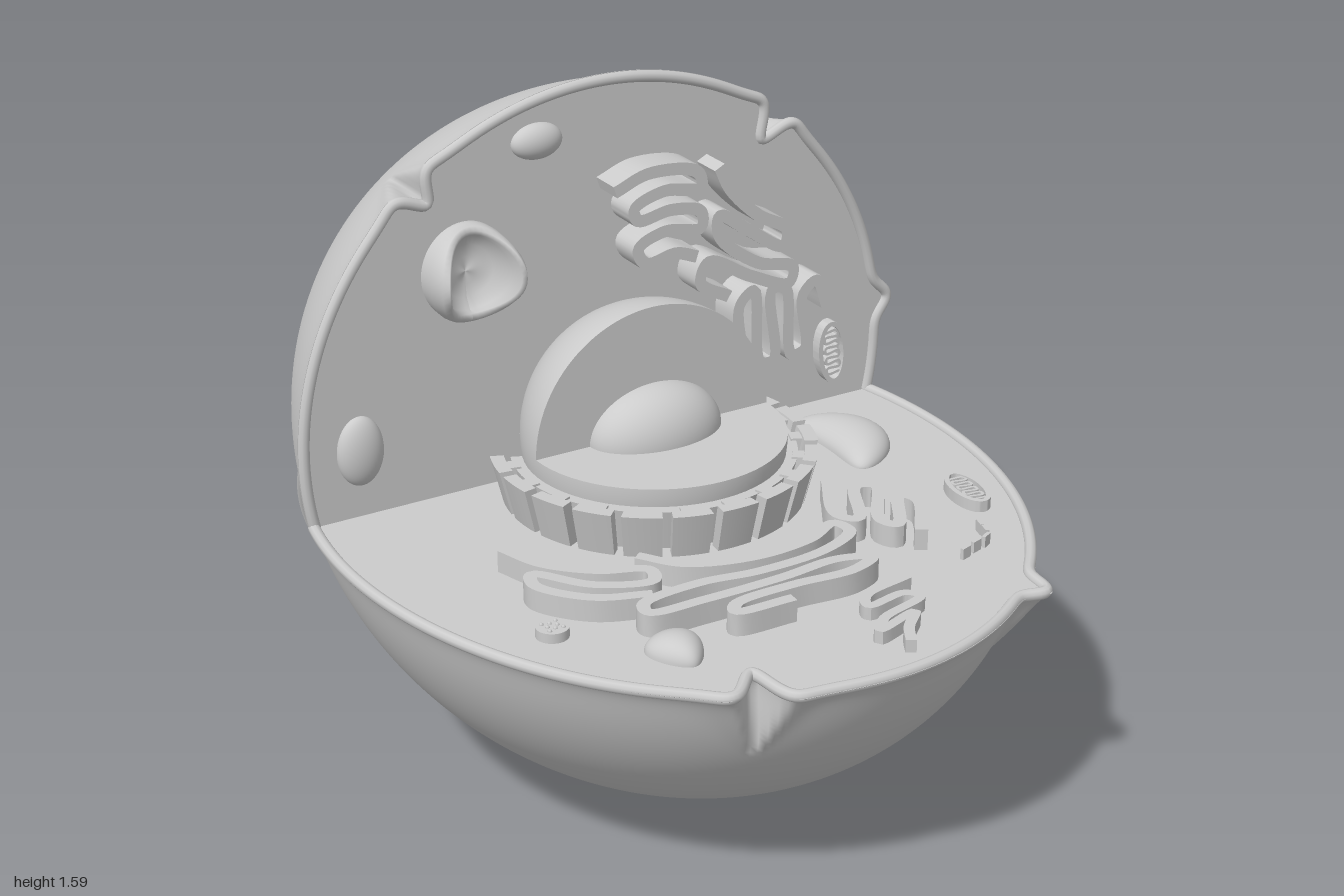
import * as THREE from 'three';
import { toCreasedNormals } from 'three/addons/utils/BufferGeometryUtils.js';
import { ParametricGeometry } from 'three/addons/geometries/ParametricGeometry.js';

const mat = new THREE.MeshStandardMaterial({ color: 0xcccccc, roughness: 0.7 });
const matDouble = new THREE.MeshStandardMaterial({ color: 0xcccccc, roughness: 0.7, side: THREE.DoubleSide });

// Ellipsoid body: centre (CX, CY, 0), radii RX, RY, RZ; cut by floor and wall planes
const CX = -0.02, CY = 0.8, RX = 0.805, RY = 0.8, RZ = 1;
const FLOOR = 0.635, WALL = -0.25, DROP = (CY - FLOOR) / RY;

// Notches (negative) and bumps (positive) on the two rims: [angle, amount, width]
const floorMarks = [[Math.atan2(0.9, -0.36), -0.13, 0.05], [Math.atan2(0.82, 0.58), 0.06, 0.045]];
const wallMarks = [[Math.atan2(0.59, -0.47), -0.1, 0.045], [Math.atan2(0.58, 0.45), -0.12, 0.045], [0.1, 0.05, 0.05]];

function bulge(marks, angle, depth) {
  let d = 0.018 * Math.exp(-depth / 0.02);
  const f = Math.max(0, 1 - depth / 0.19);
  if (f > 0) for (const [a, amt, w] of marks) {
    const q = (angle - a) / (w * (0.15 + 0.85 * f));
    d += amt * f * Math.exp(-q * q);
    if (amt < 0) d -= 0.25 * amt * f * Math.exp(-q * q / 5);
  }
  return 1 + d;
}

function bowlPoint(t, lat, target, inset = 1) {
  const y = CY + RY * Math.sin(lat);
  const k = Math.cos(lat) * bulge(floorMarks, t, FLOOR - y) * inset;
  return target.set(CX + RX * k * Math.cos(t), y, RZ * k * Math.sin(t));
}

function domePoint(a, w, target, inset = 1) {
  const z = -RZ * Math.sin(w);
  const k = Math.cos(w) * bulge(wallMarks, a, WALL - z) * inset;
  return target.set(CX + RX * k * Math.cos(a), CY + RY * k * Math.sin(a), z);
}

function add(parent, name, geometry, material = mat) {
  const mesh = new THREE.Mesh(geometry, material);
  mesh.name = name;
  parent.add(mesh);
  return mesh;
}

// Raised strip of rectangular section along a smooth planar path, standing on z = 0
function ribbon(flat, width, height, flip = 1, closed = false) {
  const pts = [];
  for (let i = 0; i < flat.length; i += 2) pts.push(new THREE.Vector3(flat[i], flat[i + 1] * flip, 0));
  const curve = new THREE.CatmullRomCurve3(pts, closed, 'centripetal');
  const n = pts.length * 7, pos = [], idx = [];
  for (let i = 0; i <= n; i++) {
    const p = curve.getPoint(i / n), t = curve.getTangent(i / n);
    const ox = -t.y * width / 2, oy = t.x * width / 2;
    pos.push(p.x + ox, p.y + oy, 0, p.x + ox, p.y + oy, height, p.x - ox, p.y - oy, height, p.x - ox, p.y - oy, 0);
    if (i < n) for (let j = 0; j < 4; j++) {
      const a = i * 4 + j, b = i * 4 + (j + 1) % 4;
      idx.push(a, b, b + 4, a, b + 4, a + 4);
    }
  }
  const e = n * 4;
  idx.push(0, 2, 1, 0, 3, 2, e, e + 1, e + 2, e, e + 2, e + 3);
  const g = new THREE.BufferGeometry();
  g.setAttribute('position', new THREE.Float32BufferAttribute(pos, 3));
  g.setIndex(idx);
  return toCreasedNormals(g, 0.7);
}

// Move every vertex by a rule, then refresh the normals
function reshape(g, rule) {
  const p = g.attributes.position, v = new THREE.Vector3();
  for (let i = 0; i < p.count; i++) {
    rule(v.fromBufferAttribute(p, i));
    p.setXYZ(i, v.x, v.y, v.z);
  }
  g.computeVertexNormals();
  return g;
}

function blob(parent, name, u, v, rx, ry, rz, rule) {
  const g = new THREE.SphereGeometry(1, 40, 28).scale(rx, ry, rz);
  const m = add(parent, name, rule ? reshape(g, rule) : g);
  m.position.set(u, v, 0);
  return m;
}

// Oval body with a raised border and folded inner membrane
function mitochondrion(parent, u, v, turn) {
  const g = new THREE.Group();
  g.name = 'mitochondrion';
  add(g, 'base', new THREE.CylinderGeometry(1, 1, 0.014, 40).rotateX(Math.PI / 2).scale(0.038, 0.08, 1));
  const oval = [];
  for (let i = 0; i < 16; i++) oval.push(0.036 * Math.cos(i * Math.PI / 8), 0.078 * Math.sin(i * Math.PI / 8));
  add(g, 'border', ribbon(oval, 0.012, 0.028, 1, true));
  const fold = [];
  for (let i = 0; i < 9; i++) {
    const s = i % 2 ? 1 : -1, y = -0.056 + i * 0.014;
    fold.push(-s * 0.018, y, s * 0.018, y);
  }
  add(g, 'folds', ribbon(fold, 0.007, 0.024));
  g.position.set(u, v, 0);
  g.rotation.z = turn;
  parent.add(g);
}

// Block in the shape of a ring sector, flared outwards towards the top
function sector(r0, r1, a0, a1, h) {
  const s = new THREE.Shape();
  s.absarc(0, 0, r1, a0, a1, false);
  s.absarc(0, 0, r0, a1, a0, true);
  const g = new THREE.ExtrudeGeometry(s, { depth: h, bevelEnabled: false, curveSegments: Math.ceil((a1 - a0) * 16) });
  return toCreasedNormals(reshape(g, p => { const k = 1 + 0.7 * p.z; p.x *= k; p.y *= k; }), 0.6);
}

export function createModel() {
  const model = new THREE.Group();
  model.name = 'cutawayCell';
  const lat0 = -Math.asin(DROP), w0 = Math.asin(-WALL);
  const ease = v => v * (0.3 + 0.7 * v);

  // Outer membrane: lower bowl and rear dome
  add(model, 'lowerShell', new ParametricGeometry((u, v, p) =>
    bowlPoint(u * Math.PI * 2 - Math.PI / 2, lat0 + (-Math.PI / 2 + 0.001 - lat0) * ease(v), p), 360, 48), matDouble);
  const arcStart = w => Math.asin(Math.max(-1, -DROP / Math.cos(w)));
  add(model, 'rearShell', new ParametricGeometry((u, v, p) => {
    const w = w0 + (Math.PI / 2 - 0.001 - w0) * ease(v), a0 = arcStart(w);
    return domePoint(Math.PI - a0 + (2 * a0 - Math.PI) * u, w, p);
  }, 300, 48), matDouble);

  // Cut faces with rounded rims
  const tMin = Math.asin(WALL / Math.cos(lat0)), aMin = arcStart(w0);
  const outline = (fn, start, fixed, inset) => Array.from({ length: 301 }, (_, i) =>
    fn(start + (Math.PI - 2 * start) * i / 300, fixed, new THREE.Vector3(), inset));
  const tube = pts => new THREE.TubeGeometry(new THREE.CatmullRomCurve3(pts), 420, 0.014, 10);
  add(model, 'floorRim', tube(outline(bowlPoint, tMin, lat0, 0.985)));
  add(model, 'wallRim', tube(outline(domePoint, aMin, w0, 0.982)));

  const floor = new THREE.Group();
  floor.name = 'floorParts';
  floor.rotation.x = -Math.PI / 2;
  floor.position.y = FLOOR;
  const wall = new THREE.Group();
  wall.name = 'wallParts';
  wall.position.z = WALL;
  model.add(floor, wall);
  add(floor, 'floorFace', new THREE.ShapeGeometry(new THREE.Shape(
    outline(bowlPoint, tMin, lat0, 1).map(p => new THREE.Vector2(p.x, -p.z)))), matDouble);
  add(wall, 'wallFace', new THREE.ShapeGeometry(new THREE.Shape(
    outline(domePoint, aMin, w0, 1).map(p => new THREE.Vector2(p.x, p.y)))), matDouble);

  // Nucleus: sphere with the upper front quarter removed, and its core
  const nucleus = new THREE.Group();
  nucleus.name = 'nucleus';
  nucleus.position.set(-0.03, CY, 0);
  const R = 0.31;
  add(nucleus, 'lowerHalf', new THREE.SphereGeometry(R, 64, 24, 0, Math.PI * 2, Math.PI / 2, Math.PI / 2));
  add(nucleus, 'upperRear', new THREE.SphereGeometry(R, 40, 24, Math.PI, Math.PI, 0, Math.PI / 2));
  add(nucleus, 'uprightFace', new THREE.CircleGeometry(R, 48, 0, Math.PI));
  add(nucleus, 'levelFace', new THREE.CircleGeometry(R, 64).rotateX(-Math.PI / 2));
  add(nucleus, 'core', new THREE.SphereGeometry(1, 48, 32).scale(0.17, 0.122, 0.11));
  model.add(nucleus);

  // Plated collar around the nucleus
  const collar = new THREE.Group();
  collar.name = 'collar';
  collar.position.set(-0.03, 0, 0.02);
  const first = -Math.PI - 0.4, step = (Math.PI + 0.8) / 13;
  add(collar, 'collarBand', sector(0.28, 0.312, first, first + 13 * step, 0.1));
  for (let i = 0; i < 13; i++) {
    const a = first + i * step;
    add(collar, 'collarPlate', sector(0.325, 0.355, a + 0.03, a + step - 0.03, 0.11));
    add(collar, 'collarStem', sector(0.3, 0.33, a + step * 0.32, a + step * 0.68, 0.105));
  }
  floor.add(collar);

  // Folded membranes on the floor (x, z pairs)
  const floorFolds = [
    [-0.51, 0.15, -0.47, 0.26, -0.38, 0.35, -0.28, 0.4, -0.3, 0.45, -0.42, 0.4, -0.51, 0.29, -0.53, 0.34, -0.45, 0.45, -0.33, 0.5],
    [-0.27, 0.33, -0.2, 0.42, -0.05, 0.47, 0.1, 0.46, 0.19, 0.42, 0.2, 0.47, 0.1, 0.52, -0.08, 0.53, -0.22, 0.51, -0.37, 0.53, -0.38, 0.57,
      -0.25, 0.58, -0.05, 0.58, 0.1, 0.57, 0.17, 0.6, 0.1, 0.63, -0.05, 0.62, -0.2, 0.63, -0.22, 0.66, -0.08, 0.67],
    [0.3, 0.23, 0.22, 0.39, 0.25, 0.43, 0.34, 0.29, 0.38, 0.31, 0.29, 0.46, 0.31, 0.5, 0.4, 0.38, 0.42, 0.42, 0.34, 0.55],
  ];
  for (const f of floorFolds) add(floor, 'floorFold', ribbon(f, 0.03, 0.052, -1));
  add(floor, 'frontStack', ribbon([0.21, 0.68, 0.08, 0.71, 0.06, 0.75, 0.16, 0.74, 0.18, 0.77, 0.06, 0.81, 0.02, 0.85,
    0.13, 0.82, 0.08, 0.87, 0.05, 0.92], 0.024, 0.03, -1));

  // Folded membranes on the wall (x, y pairs)
  const wallFolds = [
    [-0.03, 1.33, 0.06, 1.36, 0.19, 1.34, 0.2, 1.3, 0.1, 1.31, 0.02, 1.28, 0.03, 1.25, 0.12, 1.26, 0.2, 1.24, 0.2, 1.2,
      0.1, 1.21, 0.03, 1.18, 0.05, 1.14, 0.13, 1.15, 0.19, 1.13],
    [0.25, 1.34, 0.28, 1.28, 0.36, 1.2, 0.44, 1.15, 0.43, 1.11, 0.33, 1.17, 0.25, 1.22, 0.25, 1.17, 0.36, 1.08, 0.46, 1.05,
      0.45, 1.01, 0.34, 1.05, 0.22, 1.11, 0.2, 1.06, 0.28, 1.01],
    [0.32, 0.85, 0.31, 0.98, 0.35, 1.01, 0.37, 0.82, 0.41, 0.82, 0.4, 1.0, 0.44, 1.0, 0.46, 0.82, 0.5, 0.83, 0.49, 0.97, 0.53, 1.0, 0.56, 0.93],
  ];
  for (const f of wallFolds) add(wall, 'wallFold', ribbon(f, 0.03, 0.08));

  // Open vesicle: cup whose rim rises at both sides
  const cup = new THREE.LatheGeometry([[0.11, 0], [0.111, 0.4], [0.107, 0.85], [0.098, 1], [0.089, 0.93], [0.083, 0.6], [0.06, 0.2], [0.03, 0.08], [0.0001, 0.05]]
    .map(([r, h]) => new THREE.Vector2(r, h)), 48).rotateX(Math.PI / 2);
  reshape(cup, p => {
    const c = p.x / (Math.hypot(p.x, p.y) || 1);
    p.z *= 0.035 + 0.085 * c * c;
    p.y *= 1.07;
  });
  add(wall, 'openVesicle', cup, matDouble).position.set(-0.38, 1.185, 0);

  // Smooth rounded bodies
  blob(wall, 'upperVesicle', -0.19, 1.46, 0.065, 0.043, 0.035);
  blob(wall, 'sideVesicle', -0.66, 0.8, 0.058, 0.086, 0.035);
  blob(floor, 'beanBody', 0.54, 0.01, 0.082, 0.15, 0.05, p => { p.x -= 2.6 * p.y * p.y; });
  blob(floor, 'smallBody', -0.37, -0.67, 0.06, 0.07, 0.045, p => { p.x *= 1 + 5 * p.y; });

  // Mitochondria, speckled disc and rods
  mitochondrion(wall, 0.62, 0.77, 0.1);
  mitochondrion(floor, 0.59, -0.385, -0.15);
  add(floor, 'speckledDisc', new THREE.CylinderGeometry(0.037, 0.037, 0.026, 32).rotateX(Math.PI / 2)).position.set(-0.56, -0.47, 0.01);
  for (let i = 0; i < 8; i++) {
    const r = 0.012 + 0.012 * (i % 2);
    add(floor, 'speckle', new THREE.SphereGeometry(0.005, 10, 8)).position.set(-0.56 + r * Math.cos(i * 0.8), -0.47 + r * Math.sin(i * 0.8), 0.023);
  }
  for (const [x, z, turn] of [[0.405, 0.63, 0.3], [0.445, 0.615, 0.3], [0.48, 0.605, 0.5], [0.5, 0.575, 1.3], [0.507, 0.545, 1.3]]) {
    const rod = add(floor, 'rod', new THREE.BoxGeometry(0.028, 0.009, 0.03));
    rod.position.set(x, -z, 0.012);
    rod.rotation.z = turn;
  }
  return model;
}
